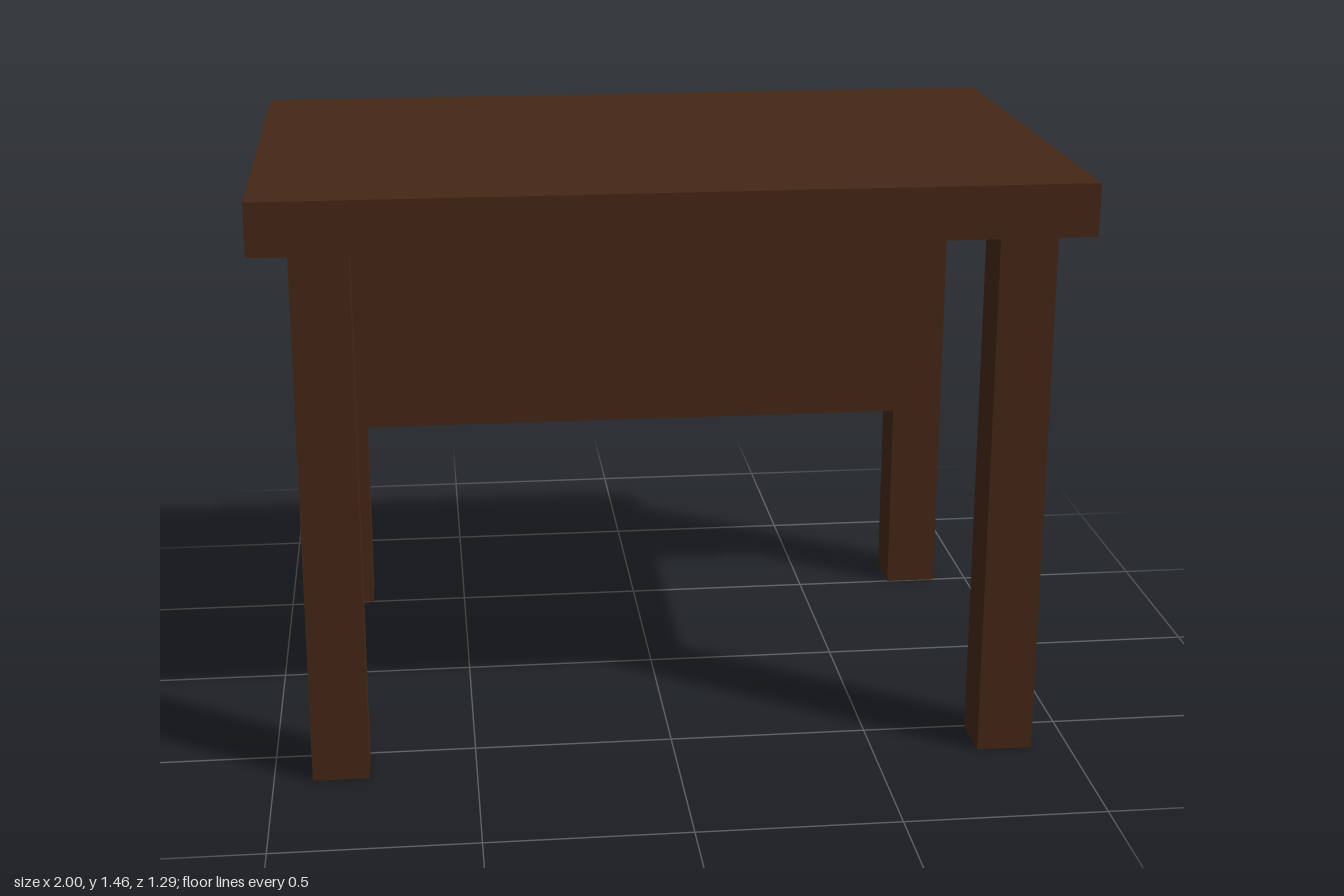
import * as THREE from 'three';

const wood = new THREE.MeshStandardMaterial({ color: 0x452817 });

// Box given by its lower and upper limits on each axis
function addBox(parent, name, [x0, x1], [y0, y1], [z0, z1]) {
  const mesh = new THREE.Mesh(new THREE.BoxGeometry(x1 - x0, y1 - y0, z1 - z0), wood);
  mesh.position.set((x0 + x1) / 2, (y0 + y1) / 2, (z0 + z1) / 2);
  mesh.name = name;
  parent.add(mesh);
}

export function createModel() {
  const desk = new THREE.Group();
  desk.name = 'desk';

  const topHeight = 1.46, underside = 1.33;
  const legOuterX = 0.905, legInnerX = 0.765;
  const legOuterZ = 0.64, legInnerZ = 0.5;

  // Desktop slab
  addBox(desk, 'desktop', [-1, 1], [underside, topHeight], [-0.645, 0.645]);

  // Four square legs
  for (const [side, sx] of [['Left', 1], ['Right', -1]]) {
    for (const [end, sz] of [['front', 1], ['back', -1]]) {
      const x = [legInnerX * sx, legOuterX * sx].sort((a, b) => a - b);
      const z = [legInnerZ * sz, legOuterZ * sz].sort((a, b) => a - b);
      addBox(desk, `${end}${side}Leg`, x, [0, underside], z);
    }
  }

  // Modesty panel between the back legs, as deep as the legs
  addBox(desk, 'backPanel', [-legInnerX, legInnerX], [0.537, underside], [-legOuterZ, -legInnerZ]);

  return desk;
}
